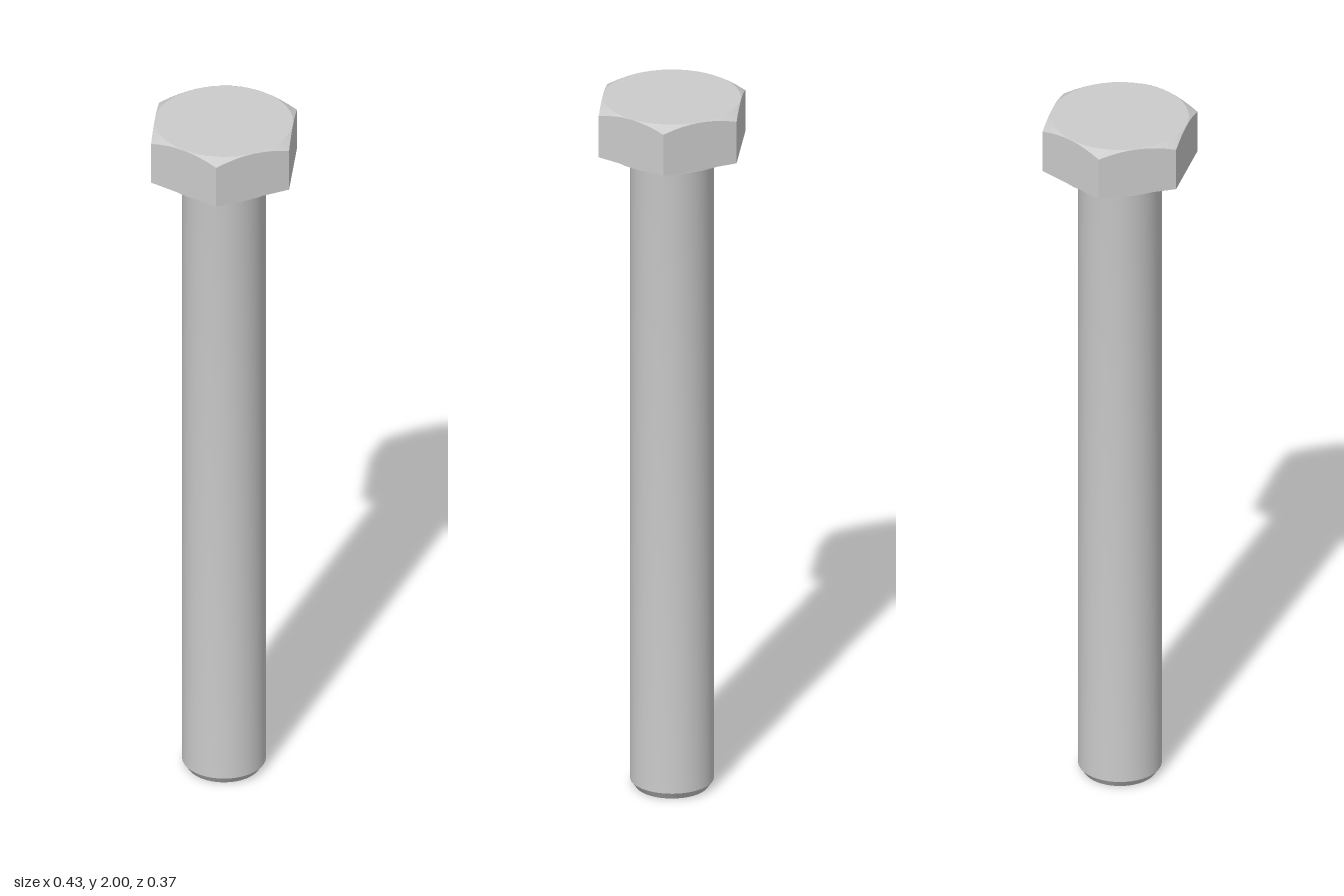
import * as THREE from 'three';
import { toCreasedNormals } from 'three/addons/utils/BufferGeometryUtils.js';

const SEGMENTS = 48;
const APOTHEM = 0.185;      // half the width across the flats
const HEAD_BOTTOM = 1.862;
const SEAT = 1.854;         // underside of the washer face
const SHANK_R = 0.112;
const CREASE = THREE.MathUtils.degToRad(20);

// Distance from the axis to the hexagon's edge, corners on the x axis
function hexRadius(angle) {
  const sector = Math.PI / 3;
  return APOTHEM / Math.cos((angle % sector) - sector / 2);
}

// Skin between stacked rings; each ring gives { r, y } for an angle
function loft(rings) {
  const positions = [];
  const point = (ring, i) => {
    const a = ((i % SEGMENTS) / SEGMENTS) * Math.PI * 2;
    const { r, y } = ring(a);
    return [r * Math.cos(a), y, r * Math.sin(a)];
  };
  for (let k = 0; k < rings.length - 1; k++) {
    for (let i = 0; i < SEGMENTS; i++) {
      const a = point(rings[k], i), b = point(rings[k], i + 1);
      const c = point(rings[k + 1], i), d = point(rings[k + 1], i + 1);
      if (k > 0) positions.push(...a, ...c, ...b);                // first ring is a centre point
      if (k < rings.length - 2) positions.push(...b, ...c, ...d); // so is the last
    }
  }
  const geometry = new THREE.BufferGeometry();
  geometry.setAttribute('position', new THREE.Float32BufferAttribute(positions, 3));
  return toCreasedNormals(geometry, CREASE);
}

function lathe(profile) {
  const points = profile.map(([r, y]) => new THREE.Vector2(r, y));
  return toCreasedNormals(new THREE.LatheGeometry(points, SEGMENTS), CREASE);
}

export function createModel() {
  const bolt = new THREE.Group();
  bolt.name = 'hexBolt';
  const material = new THREE.MeshStandardMaterial({ color: 0xcccccc });
  const add = (name, geometry) => {
    const mesh = new THREE.Mesh(geometry, material);
    mesh.name = name;
    bolt.add(mesh);
  };

  // Hexagonal head, its corners cut by a 30 degree cone around the flat top
  const topRadius = APOTHEM - 0.001;
  const slope = Math.tan(Math.PI / 6);
  add('head', loft([
    () => ({ r: 0, y: HEAD_BOTTOM }),
    (a) => ({ r: hexRadius(a), y: HEAD_BOTTOM }),
    (a) => ({ r: hexRadius(a), y: 2 - (hexRadius(a) - topRadius) * slope }),
    () => ({ r: topRadius, y: 2 }),
    () => ({ r: 0, y: 2 }),
  ]));

  // Thin round washer face under the head
  add('washerFace', lathe([[SHANK_R, SEAT], [0.177, SEAT], [0.177, HEAD_BOTTOM]]));

  // Shank with a chamfered tip and a small fillet below the head
  const fillet = 0.009;
  const profile = [[0, 0], [0.098, 0], [SHANK_R, 0.02]];
  for (let i = 0; i <= 6; i++) {
    const a = (i / 6) * Math.PI / 2;
    profile.push([
      SHANK_R + fillet * (1 - Math.cos(a)),
      SEAT - fillet * (1 - Math.sin(a)),
    ]);
  }
  add('shank', lathe(profile));

  return bolt;
}
